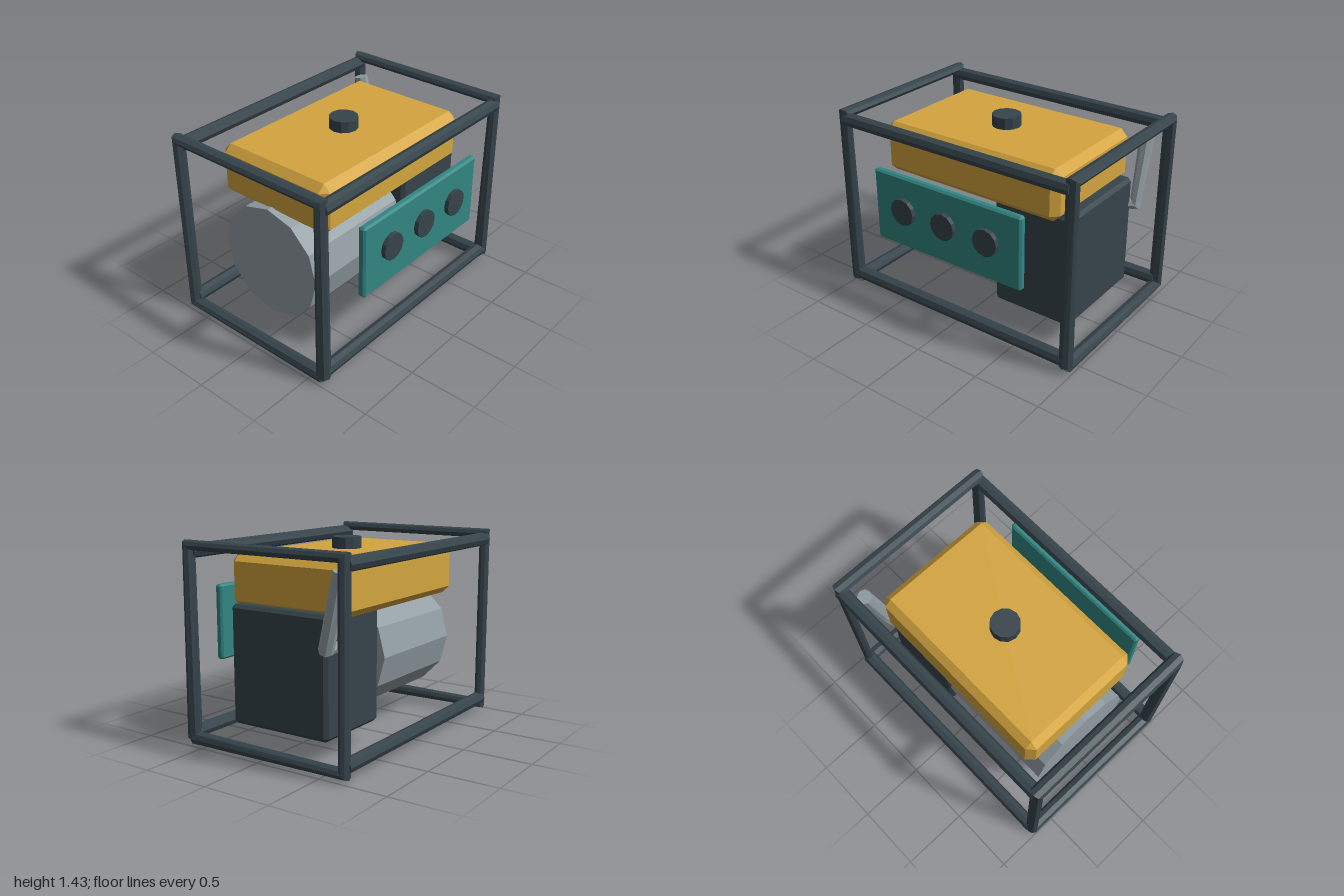
import * as THREE from 'three';
import { ConvexGeometry } from 'three/addons/geometries/ConvexGeometry.js';

const V = (x, y, z) => new THREE.Vector3(x, y, z);

function material(name, color, side = THREE.FrontSide) {
  const m = new THREE.MeshStandardMaterial({ color, flatShading: true, side });
  m.name = name;
  return m;
}

// Straight-segment path with mitred corners, for eight-sided tubing
class Polyline extends THREE.Curve {
  constructor(points) {
    super();
    this.points = points;
  }
  index(u) {
    return Math.round(u * (this.points.length - 1));
  }
  getPoint(u, target = new THREE.Vector3()) {
    return target.copy(this.points[this.index(u)]);
  }
  getPointAt(u, target) {
    return this.getPoint(u, target);
  }
  getTangentAt(u, target = new THREE.Vector3()) {
    const p = this.points, i = this.index(u);
    target.set(0, 0, 0);
    if (i > 0) target.add(p[i].clone().sub(p[i - 1]).normalize());
    if (i < p.length - 1) target.add(p[i + 1].clone().sub(p[i]).normalize());
    return target.normalize();
  }
}

const pipe = (points, radius) =>
  new THREE.TubeGeometry(new Polyline(points), points.length - 1, radius, 8, false);

// Box between two corners with every edge chamfered
function chamferBox([x0, x1], [y0, y1], [z0, z1], c) {
  const h = [(x1 - x0) / 2, (y1 - y0) / 2, (z1 - z0) / 2];
  const points = [];
  for (const sx of [-1, 1]) for (const sy of [-1, 1]) for (const sz of [-1, 1])
    for (let axis = 0; axis < 3; axis++) {
      const e = h.map((v, i) => (i === axis ? v : v - c));
      points.push(V(sx * e[0], sy * e[1], sz * e[2]));
    }
  return new ConvexGeometry(points).translate((x0 + x1) / 2, (y0 + y1) / 2, (z0 + z1) / 2);
}

export function createModel() {
  const model = new THREE.Group();
  model.name = 'generator';
  const dark = material('darkSlate', 0x36444b, THREE.DoubleSide);
  const yellow = material('tankYellow', 0xd4a53f);
  const teal = material('panelTeal', 0x328683);
  const grey = material('metalGrey', 0x939fa4, THREE.DoubleSide);

  const add = (name, geometry, mat, parent = model) => {
    const mesh = new THREE.Mesh(geometry, mat);
    mesh.name = name;
    parent.add(mesh);
    return mesh;
  };

  // Tubular cage: one bent hoop per side, joined by four cross bars
  const cage = new THREE.Group();
  cage.name = 'cage';
  model.add(cage);
  for (const x of [-0.95, 0.95])
    add('sideHoop', pipe([
      V(x, 0.056, 0.602), V(x, 0.056, -0.66), V(x, 1.402, -0.66),
      V(x, 1.402, 0.602), V(x, 0.056, 0.602),
    ], 0.05), dark, cage);
  for (const y of [0.1, 1.36])
    for (const z of [0.602, -0.658]) {
      const bar = add('crossBar', new THREE.CylinderGeometry(0.05, 0.05, 1.89, 8), dark, cage);
      bar.rotation.z = Math.PI / 2;
      bar.position.set(0, y, z);
    }

  // Fuel tank and filler cap
  add('fuelTank', chamferBox([-0.735, 0.735], [0.963, 1.337], [-0.502, 0.442], 0.052), yellow);
  add('fuelCap', new THREE.CylinderGeometry(0.105, 0.105, 0.12, 12), dark)
    .position.set(0, 1.36, -0.03);

  // Engine block and alternator drum
  add('engineBlock', chamferBox([0.19, 0.813], [0.165, 1.005], [-0.427, 0.37], 0.025), dark);
  const drum = add('alternator', new THREE.CylinderGeometry(0.42, 0.42, 0.925, 12), grey);
  drum.rotation.z = Math.PI / 2;
  drum.position.set(-0.3175, 0.605, -0.028);

  // Exhaust pipe with a closed tip
  const elbow = V(0.838, 0.795, -0.445), tip = V(0.836, 1.295, -0.557);
  add('exhaustPipe', pipe([V(0.6, 0.785, -0.365), elbow, tip], 0.053), grey);
  const end = add('exhaustTip', new THREE.CircleGeometry(0.053, 8), grey);
  end.position.copy(tip);
  end.quaternion.setFromUnitVectors(V(0, 0, 1), tip.clone().sub(elbow).normalize());

  // Control panel with three dials
  add('controlPanel', chamferBox([-0.628, 0.628], [0.545, 1.09], [0.62, 0.678], 0.014), teal);
  for (const x of [-0.358, 0, 0.358]) {
    const dial = add('dial', new THREE.CylinderGeometry(0.099, 0.099, 0.06, 12), dark);
    dial.rotation.x = Math.PI / 2;
    dial.position.set(x, 0.835, 0.68);
  }

  return model;
}
